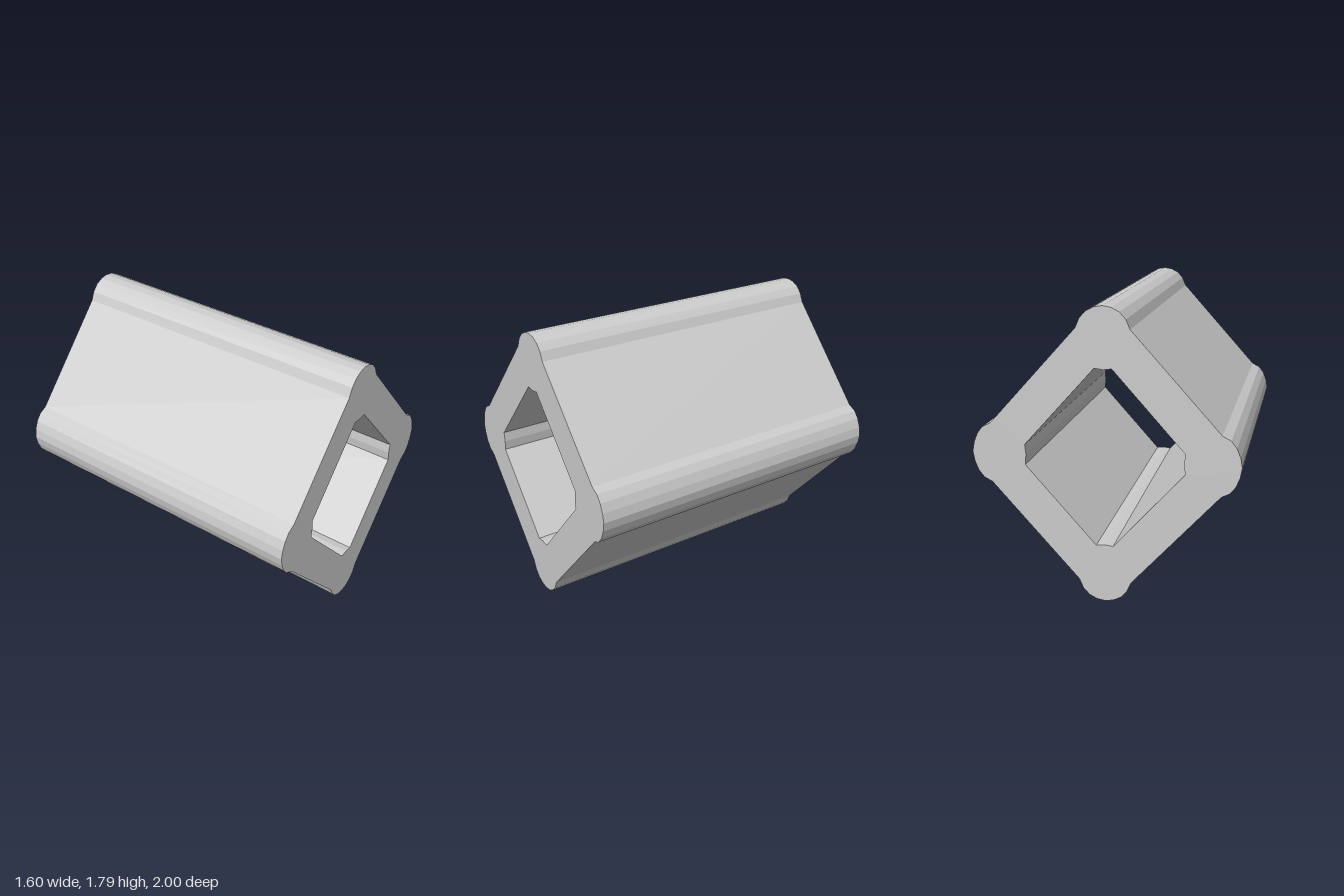
import * as THREE from 'three';

const LENGTH = 2;
const CENTER_Y = 0.893;

// First-quadrant outlines, from the side lobe (+x) round to the top lobe (+y)
const OUTER = [
  [0.8, 0], [0.79, 0.057], [0.768, 0.113], [0.735, 0.156], [0.684, 0.182],
  [0.158, 0.764], [0.134, 0.82], [0.097, 0.861], [0.05, 0.885], [0, 0.893],
];
const INNER = [[0.47, 0], [0.476, 0.062], [0.051, 0.537], [0, 0.53]];

// Mirror a quadrant into a closed counter-clockwise loop
function mirrorLoop(quadrant) {
  const back = quadrant.slice(0, -1).reverse();
  const half = [...quadrant, ...back.map(([x, y]) => [-x, y])].map(([x, y]) => [x, y]);
  // Fix the order: +x to +y, then +y to -x, then the same below
  const lower = half.slice(1, -1).reverse().map(([x, y]) => [x, -y]);
  return [...half, ...lower].map(([x, y]) => new THREE.Vector2(x, y));
}

export function createModel() {
  const group = new THREE.Group();
  group.name = 'lobedDiamondTube';

  // Diamond cross-section with rounded corner lobes and a through opening
  const section = new THREE.Shape(mirrorLoop(OUTER));
  section.holes.push(new THREE.Path(mirrorLoop(INNER)));

  const geometry = new THREE.ExtrudeGeometry(section, { depth: LENGTH, bevelEnabled: false });
  geometry.translate(0, CENTER_Y, -LENGTH / 2);

  const tube = new THREE.Mesh(
    geometry,
    new THREE.MeshStandardMaterial({ color: 0xcccccc, flatShading: true }),
  );
  tube.name = 'tubeBody';
  group.add(tube);
  return group;
}
